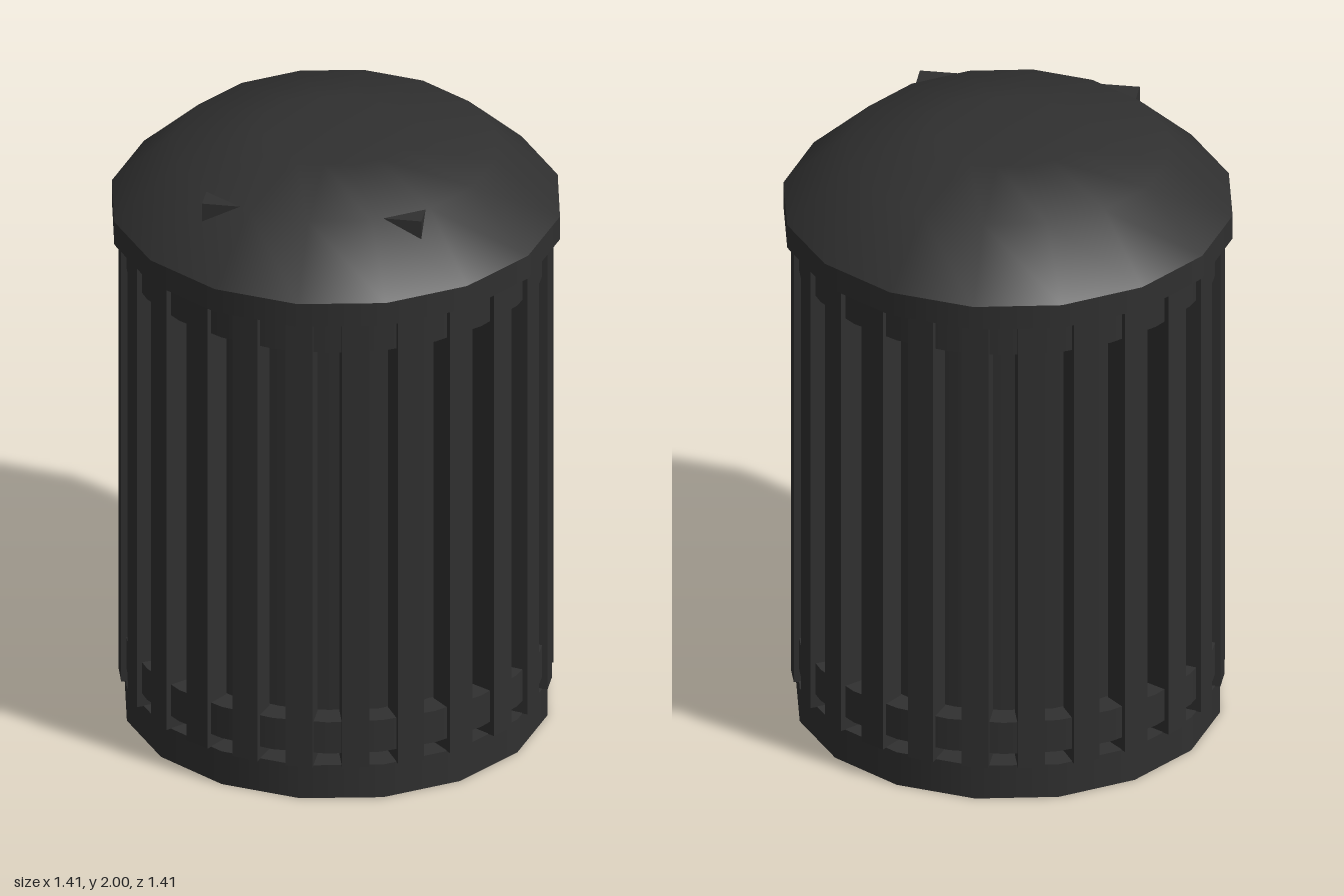
import * as THREE from 'three';

const SIDES = 16;
const SLATS = 24;

export function createModel() {
  const group = new THREE.Group();
  group.name = 'litterBin';
  // Open shells are seen from inside, hence the double side
  const darkMetal = new THREE.MeshStandardMaterial({ color: 0x303030, side: THREE.DoubleSide });
  darkMetal.name = 'dark metal';

  const add = (name, geometry, parent = group) => {
    const mesh = new THREE.Mesh(geometry, darkMetal);
    mesh.name = name;
    parent.add(mesh);
    return mesh;
  };
  const tube = (name, radius, y0, y1, sides = SIDES) => {
    const mesh = add(name, new THREE.CylinderGeometry(radius, radius, y1 - y0, sides, 1, true));
    mesh.position.y = (y0 + y1) / 2;
    return mesh;
  };
  const disc = (name, radius, y, facing) => {
    // Ring between centre and edge, wound to face up or down
    const points = [new THREE.Vector2(radius, y), new THREE.Vector2(0, y)];
    if (facing < 0) points.reverse();
    return add(name, new THREE.LatheGeometry(points, SIDES));
  };

  // Hollow foot with a floor set at its top edge
  tube('footRing', 0.665, 0, 0.115);
  disc('floor', 0.665, 0.115, -1);
  disc('footTop', 0.665, 0.117, 1);

  // Inner drum behind the slats
  tube('liner', 0.585, 0.115, 1.69);

  // Upright slats around the drum
  const slats = new THREE.Group();
  slats.name = 'slats';
  group.add(slats);
  const slatGeometry = new THREE.BoxGeometry(0.085, 1.565, 0.09);
  for (let i = 0; i < SLATS; i++) {
    const a = (i / SLATS) * Math.PI * 2;
    const slat = add('slat', slatGeometry, slats);
    slat.position.set(Math.sin(a) * 0.628, 0.115 + 1.565 / 2, Math.cos(a) * 0.628);
    slat.rotation.y = a;
  }

  // Hoops that tie the slats together, with ledges back to the drum
  for (const [name, y0, y1] of [['lowerHoop', 0.16, 0.27], ['upperHoop', 1.57, 1.68]]) {
    const profile = [[0.58, y0], [0.662, y0], [0.662, y1], [0.58, y1]];
    // Each band segment is its own lathe, which keeps the edges sharp
    for (let i = 0; i < 3; i++) {
      const pts = [profile[i], profile[i + 1]].map(([r, y]) => new THREE.Vector2(r, y));
      add(name, new THREE.LatheGeometry(pts, SLATS, Math.PI / SLATS));
    }
  }

  // Lid: rim, underside and smooth dome
  tube('lidRim', 0.705, 1.68, 1.76);
  disc('lidUnderside', 0.705, 1.68, -1);
  const dome = [[0.705, 1.76], [0.505, 1.945], [0.23, 2], [0, 2]];
  add('lidDome', new THREE.LatheGeometry(dome.map(([r, y]) => new THREE.Vector2(r, y)), SIDES));

  // Latch block inside the lid, its front corners break through the dome
  const latch = add('latchBlock', new THREE.BoxGeometry(0.69, 0.12, 0.4));
  latch.position.set(0, 1.885, 0.245);

  return group;
}
